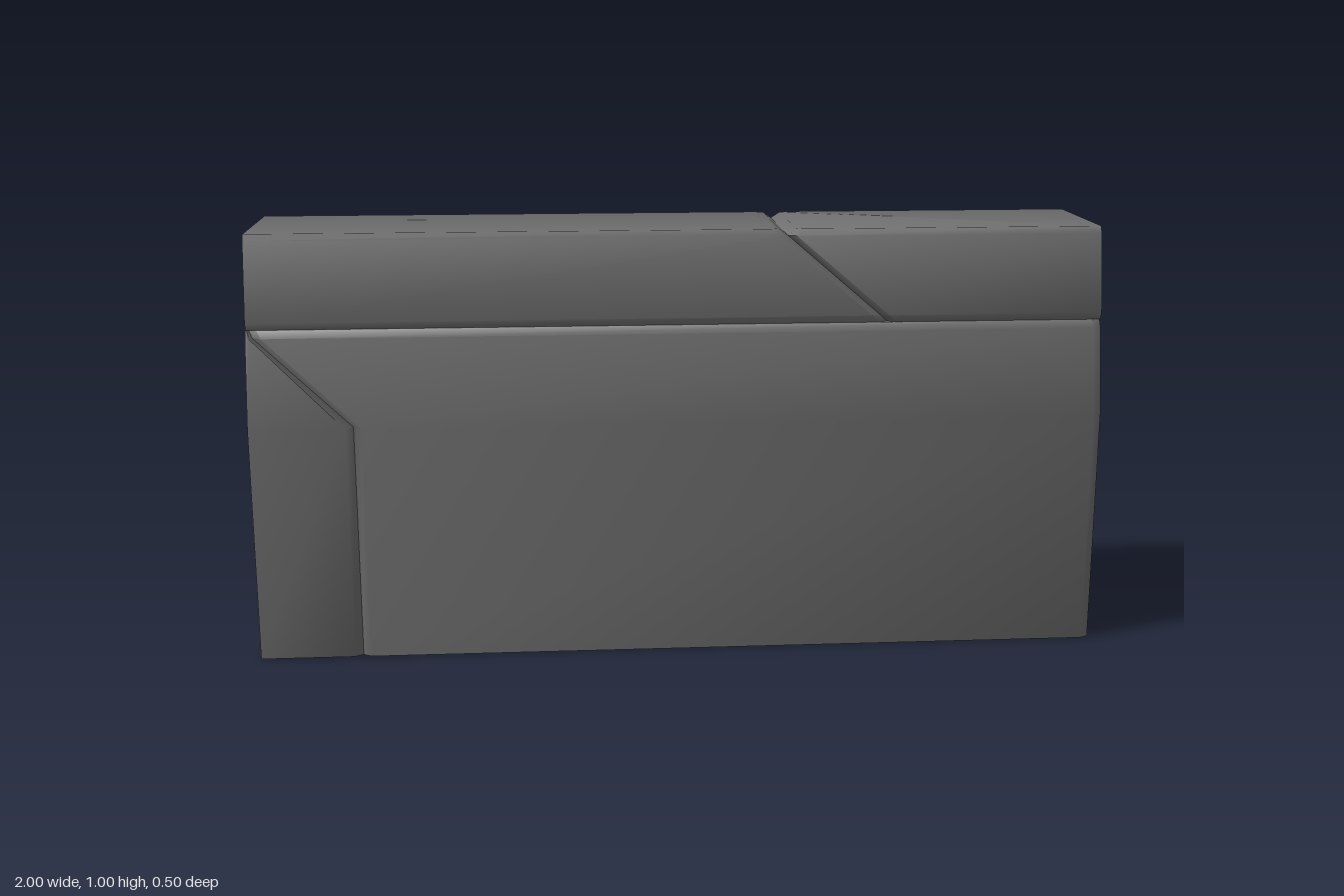
import * as THREE from 'three';
import { toCreasedNormals } from 'three/addons/utils/BufferGeometryUtils.js';

const material = new THREE.MeshStandardMaterial({ color: 0x6f6f6f });

// Outline of one horizontal slice; each end may have chamfered vertical edges [dx, dz]
function slice([y, x0, x1, z], left, right) {
  const limit = (x1 - x0) * 0.4;
  const corners = [];
  if (right) {
    const dx = Math.min(right[0], limit);
    corners.push([x1 - dx, z], [x1, z - right[1]], [x1, right[1] - z], [x1 - dx, -z]);
  } else corners.push([x1, z], [x1, -z]);
  if (left) {
    const dx = Math.min(left[0], limit);
    corners.push([x0 + dx, -z], [x0, left[1] - z], [x0, z - left[1]], [x0 + dx, z]);
  } else corners.push([x0, -z], [x0, z]);
  return corners.map(([x, pz]) => [x, y, pz]);
}

// Closed block lofted upwards through levels of [y, xMin, xMax, halfDepth];
// its bevels are shaded smoothly into the large faces
function block(name, levels, left, right) {
  const rings = levels.map((level) => slice(level, left, right));
  const n = rings[0].length;
  const index = [];
  for (let i = 0; i < rings.length - 1; i++) {
    for (let j = 0; j < n; j++) {
      const k = (j + 1) % n;
      const a = i * n + j, b = i * n + k;
      index.push(a, b, b + n, a, b + n, a + n);
    }
  }
  const top = (rings.length - 1) * n;
  for (let j = 1; j < n - 1; j++) {
    index.push(0, j + 1, j, top, top + j, top + j + 1);
  }
  const geometry = new THREE.BufferGeometry();
  geometry.setAttribute('position', new THREE.Float32BufferAttribute(rings.flat(2), 3));
  geometry.setIndex(index);
  const mesh = new THREE.Mesh(toCreasedNormals(geometry, 1), material);
  mesh.name = name;
  return mesh;
}

export function createModel() {
  const model = new THREE.Group();
  model.name = 'groovedBlock';
  // Neighbouring chamfers meet to form V-shaped grooves
  const seam = [0.02, 0.012];

  // Large lower block with a slanted shoulder at its upper end
  model.add(block('mainBody', [
    [0, -0.76, 1, 0.25],
    [0.56, -0.76, 1, 0.25],
    [0.765, -0.985, 1, 0.212],
    [0.783, -0.995, 1, 0.2],
  ], seam, [0.02, 0.01]));

  // Lower end piece that fits the slanted shoulder
  model.add(block('endPiece', [
    [0, -1, -0.76, 0.25],
    [0.56, -1, -0.76, 0.25],
    [0.765, -1, -0.985, 0.212],
    [0.783, -1, -0.995, 0.2],
  ], null, seam));

  // Long top piece, cut diagonally at one end
  model.add(block('longTop', [
    [0.783, -1, 0.49, 0.198],
    [0.8, -1, 0.472, 0.205],
    [0.985, -1, 0.255, 0.172],
    [1, -1, 0.235, 0.162],
  ], null, seam));

  // Short top piece beyond the diagonal groove
  model.add(block('shortTop', [
    [0.783, 0.49, 1, 0.198],
    [0.8, 0.472, 1, 0.205],
    [0.985, 0.255, 1, 0.172],
    [1, 0.275, 1, 0.162],
  ], seam, null));

  return model;
}
